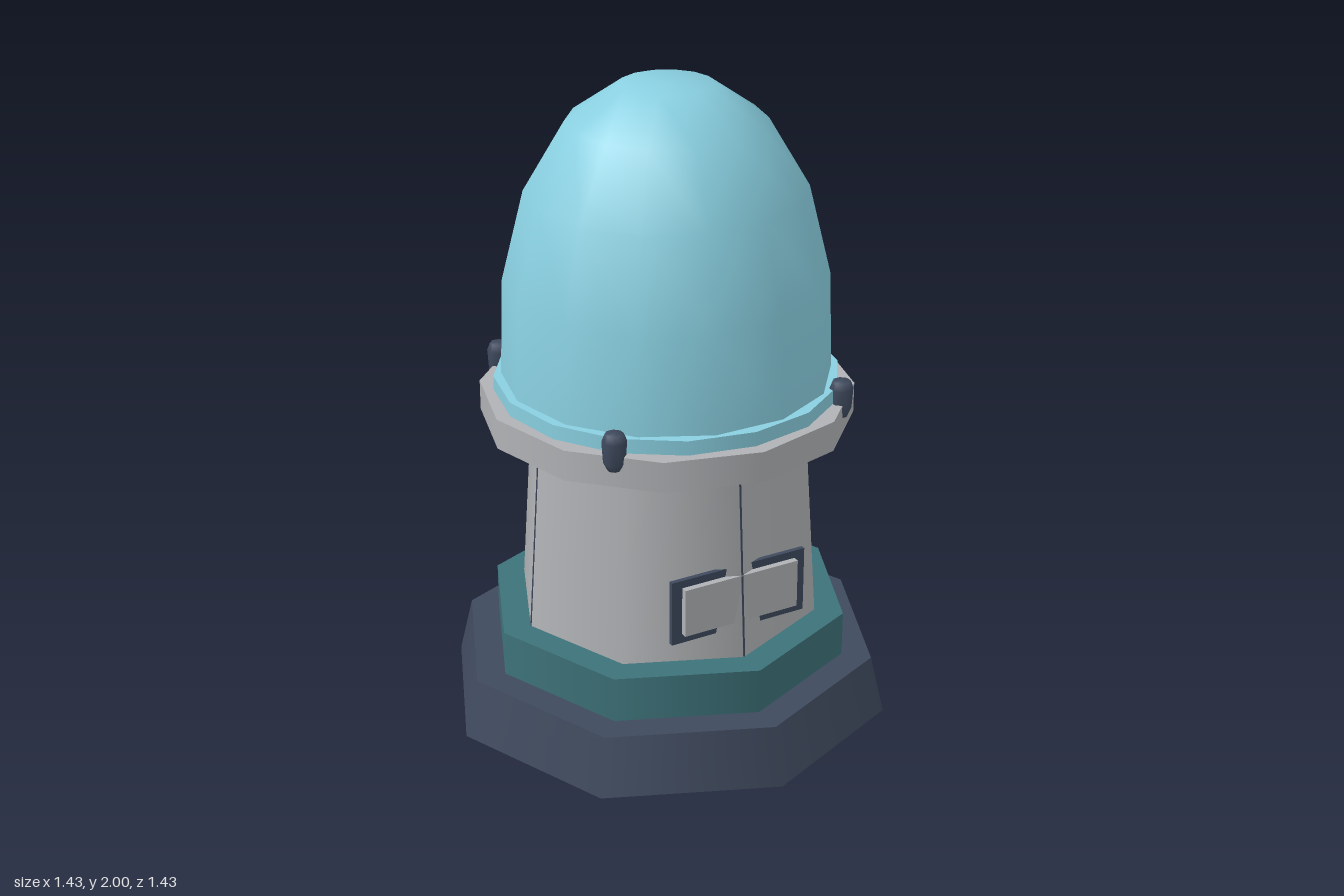
import * as THREE from 'three';

const mat = (name, color) => Object.assign(new THREE.MeshStandardMaterial({ color }), { name });

export function createModel() {
  const model = new THREE.Group();
  model.name = 'domedTower';
  const navy = mat('navy', 0x3f4a5e);
  const teal = mat('teal', 0x3d7279);
  const grey = mat('grey', 0xb0b2b5);
  const cyan = mat('cyan', 0x89cfe0);

  const add = (name, geometry, material, parent = model) => {
    const mesh = new THREE.Mesh(geometry, material);
    mesh.name = name;
    parent.add(mesh);
    return mesh;
  };
  // Upright tier between two heights
  const tier = (name, rTop, rBottom, y0, y1, sides, material) => {
    add(name, new THREE.CylinderGeometry(rTop, rBottom, y1 - y0, sides), material)
      .position.y = (y0 + y1) / 2;
  };
  const lathe = (points, sides, start) =>
    new THREE.LatheGeometry(points.map(p => new THREE.Vector2(...p)), sides, start);

  // Stacked tiers
  tier('base', 0.67, 0.715, 0, 0.185, 8, navy);
  tier('plinth', 0.575, 0.575, 0.185, 0.33, 8, teal);
  tier('tower', 0.44, 0.483, 0.33, 0.96, 8, grey);
  tier('collar', 0.575, 0.575, 0.96, 1.055, 12, grey);
  tier('domeRim', 0.53, 0.53, 1.055, 1.1, 16, cyan);

  // Tall dome with a small flat crown
  add('dome', lathe([
    [0.508, 1.06], [0.505, 1.12], [0.495, 1.4], [0.425, 1.68],
    [0.3, 1.89], [0.14, 2], [0, 2],
  ], 14, Math.PI / 2), cyan);

  // Thin seams down the four axis corners of the tower
  for (let i = 0; i < 4; i++) {
    const pivot = new THREE.Group();
    pivot.name = 'towerSeam';
    pivot.rotation.y = i * Math.PI / 2;
    const strip = add('seamStrip', new THREE.BoxGeometry(0.006, 0.63, 0.008), navy, pivot);
    strip.position.set(0, 0.645, 0.4578);
    strip.rotation.x = -Math.atan(0.043 / 0.63);
    model.add(pivot);
  }

  // Front hatch: dark frame with a pale panel
  add('hatchFrame', new THREE.BoxGeometry(0.46, 0.21, 0.015), navy).position.set(0, 0.52, 0.4375);
  add('hatchPanel', new THREE.BoxGeometry(0.39, 0.155, 0.025), grey).position.set(0, 0.523, 0.4525);

  // Clamps around the dome rim
  const clamp = lathe([
    [0, 1.01], [0.022, 1.01], [0.033, 1.035], [0.037, 1.1], [0.028, 1.123], [0, 1.123],
  ], 8, Math.PI / 8);
  for (const x of [-0.385, 0.385])
    for (const z of [-0.385, 0.385]) add('clamp', clamp, navy).position.set(x, 0, z);

  return model;
}
